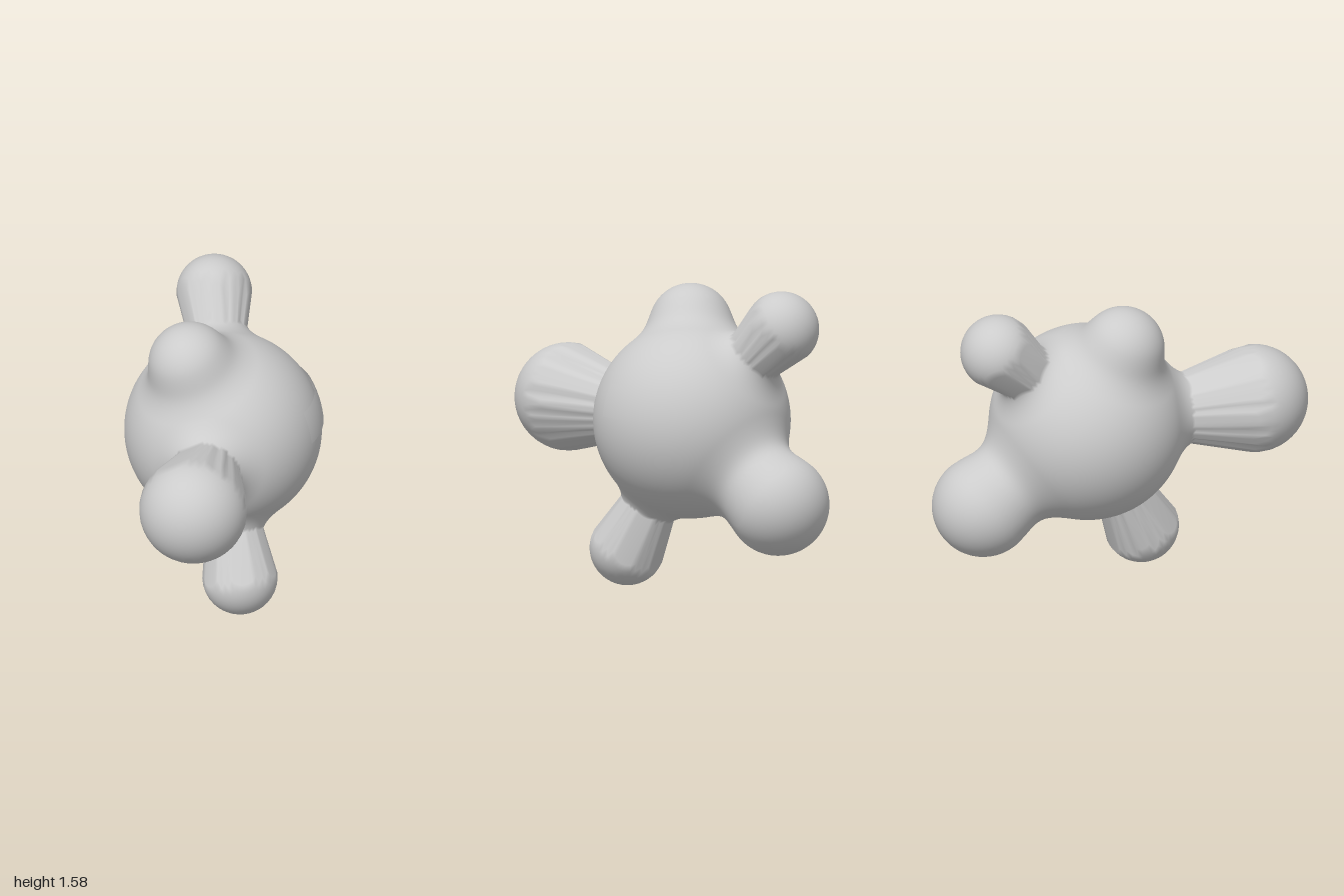
import * as THREE from 'three';
import { mergeVertices } from 'three/addons/utils/BufferGeometryUtils.js';

const V = (x, y, z) => new THREE.Vector3(x, y, z);
const CORE = V(-0.01, 0.89, -0.16);
const CORE_RADIUS = 0.51;

// Knobs growing out of the core: ball centre, ball radius, neck radius
const KNOBS = [
  { c: V(-0.23, 0.92, 0.70), r: 0.28, neck: 0.17 },   // front ball
  { c: V(0.05, 0.205, 0.19), r: 0.195, neck: 0.13 },  // foot
  { c: V(0.08, 0.50, -0.725), r: 0.265, neck: 0.23 }, // lower back ball
  { c: V(-0.015, 1.40, -0.69), r: 0.195, neck: 0.14 },// upper back ball
  { c: V(-0.19, 1.355, -0.05), r: 0.215, neck: 0.19 },// top bump
];

// Blends two distances with a rounded fillet
function blend(a, b, k) {
  const h = Math.max(k - Math.abs(a - b), 0) / k;
  return Math.min(a, b) - h * h * k / 4;
}

const axis = V(0, 0, 0), near = V(0, 0, 0);
// Distance from p to the neck running from the core to 75% of the way to the ball
function neckDistance(p, knob) {
  axis.subVectors(knob.c, CORE);
  const t = near.subVectors(p, CORE).dot(axis) / axis.lengthSq();
  near.copy(CORE).addScaledVector(axis, THREE.MathUtils.clamp(t, 0, 0.75));
  return p.distanceTo(near) - knob.neck;
}

function distance(p) {
  let d = p.distanceTo(CORE) - CORE_RADIUS;
  for (const knob of KNOBS) {
    const arm = blend(p.distanceTo(knob.c) - knob.r, neckDistance(p, knob), 0.06);
    d = blend(d, arm, 0.12);
  }
  return d;
}

// Shrink-wraps a ball of rays onto the blended shape
function wrappedBody() {
  let geo = new THREE.IcosahedronGeometry(1, 44);
  geo.deleteAttribute('normal');
  geo.deleteAttribute('uv');
  geo = mergeVertices(geo, 1e-5);
  const pos = geo.attributes.position;
  const dir = V(0, 0, 0), p = V(0, 0, 0);
  for (let i = 0; i < pos.count; i++) {
    dir.fromBufferAttribute(pos, i).normalize();
    let r = 1.4;
    for (let step = 0; step < 90; step++) {
      p.copy(CORE).addScaledVector(dir, r);
      const d = distance(p);
      if (d < 1e-4) break;
      r -= d * 0.9;
    }
    pos.setXYZ(i, p.x, p.y, p.z);
  }
  geo.computeVertexNormals();
  return geo;
}

export function createModel() {
  const group = new THREE.Group();
  group.name = 'knobbedBlob';

  const body = new THREE.Mesh(wrappedBody(), new THREE.MeshStandardMaterial({ color: 0xcccccc }));
  body.name = 'body';
  group.add(body);

  // Plain curved plate on the left flank
  const plate = new THREE.Mesh(
    new THREE.SphereGeometry(CORE_RADIUS + 0.012, 16, 6, Math.PI - 0.57, 1.25, 1.13, 0.34),
    new THREE.MeshStandardMaterial({ color: 0xcccccc, side: THREE.DoubleSide })
  );
  plate.name = 'sidePlate';
  plate.position.copy(CORE);
  group.add(plate);

  return group;
}
